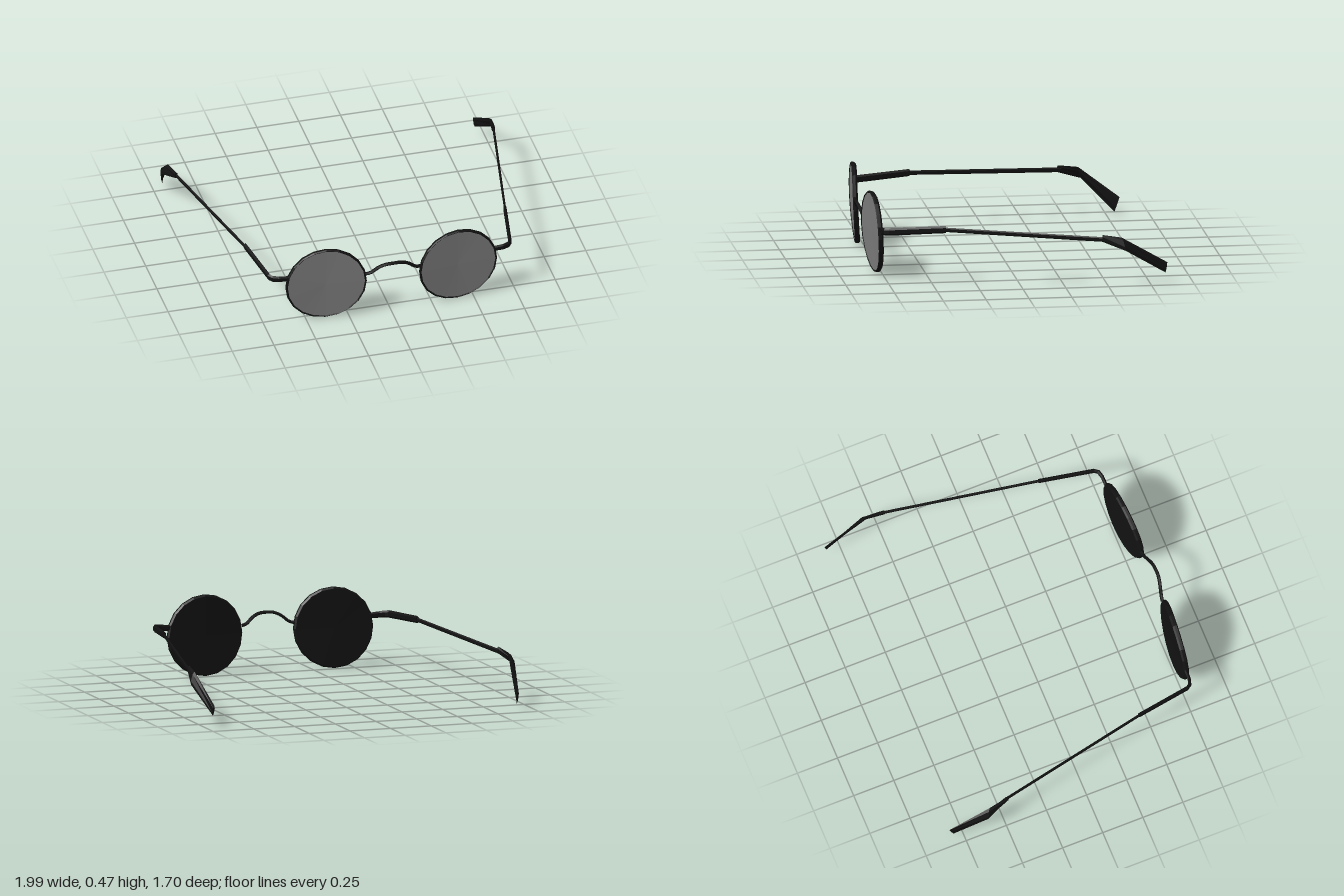
import * as THREE from 'three';

const black = new THREE.MeshStandardMaterial({ color: 0x111111, flatShading: true });
const tint = new THREE.MeshStandardMaterial({ color: 0x7c7c7c, flatShading: true });
const V = (x, y, z) => new THREE.Vector3(x, y, z);

// Six-sided bar lofted through sections, each [top point, bottom point, half width]
function bar(name, sections) {
  const n = 6;
  const mids = sections.map(([t, b]) => t.clone().add(b).multiplyScalar(0.5));
  const rings = sections.map(([t, b, w], i) => {
    const axis = t.clone().sub(b).multiplyScalar(0.5);
    const dir = mids[Math.min(i + 1, mids.length - 1)].clone().sub(mids[Math.max(i - 1, 0)]);
    const side = dir.cross(axis).normalize().multiplyScalar(w * 1.15);
    return Array.from({ length: n }, (_, k) => {
      const a = (k / n) * Math.PI * 2;
      return mids[i].clone().addScaledVector(axis, Math.cos(a)).addScaledVector(side, Math.sin(a));
    });
  });
  const pos = [];
  const tri = (...p) => p.forEach((v) => pos.push(v.x, v.y, v.z));
  const last = rings.length - 1;
  for (let k = 0; k < n; k++) {
    const j = (k + 1) % n;
    for (let i = 0; i < last; i++) {
      const a = rings[i], b = rings[i + 1];
      tri(a[k], a[j], b[j]);
      tri(a[k], b[j], b[k]);
    }
    tri(mids[0], rings[0][j], rings[0][k]);
    tri(mids[last], rings[last][k], rings[last][j]);
  }
  const g = new THREE.BufferGeometry();
  g.setAttribute('position', new THREE.Float32BufferAttribute(pos, 3));
  g.computeVertexNormals();
  const m = new THREE.Mesh(g, black);
  m.name = name;
  return m;
}

// Upright section of a bar, centred on a point
const sec = (x, y, z, h, w) => [V(x, y + h, z), V(x, y - h, z), w];

// Wrap a lens part around the face and lean its top forward
function wrap(g, s) {
  const p = g.attributes.position;
  for (let i = 0; i < p.count; i++) {
    const u = p.getX(i) * s;
    p.setZ(i, p.getZ(i) - 0.083 * u + 0.17 * u * u + 0.045 * p.getY(i));
  }
  g.computeVertexNormals();
  return g;
}

export function createModel() {
  const model = new THREE.Group();
  const cx = 0.01;

  for (const s of [-1, 1]) {
    const label = s > 0 ? 'left' : 'right';

    // Rim with closed dark back, and the tinted lens in front
    const eye = new THREE.Group();
    eye.name = label + 'Eyepiece';
    const profile = [[0, -0.014], [0.228, -0.016], [0.237, -0.006], [0.237, 0.008], [0.231, 0.014], [0.226, 0.01]];
    const rimGeo = new THREE.LatheGeometry(profile.map(([r, y]) => new THREE.Vector2(r, y)), 20);
    rimGeo.rotateX(Math.PI / 2);
    const rim = new THREE.Mesh(wrap(rimGeo, s), black);
    rim.name = label + 'Rim';
    const lens = new THREE.Mesh(wrap(new THREE.CircleGeometry(0.228, 20).translate(0, 0, 0.01), s), tint);
    lens.name = label + 'Lens';
    eye.add(rim, lens);
    eye.position.set(cx + s * 0.395, 0.242, 0.79);
    model.add(eye);

    // Hinge arm curving from the rim into the side
    const X = (d) => cx + s * d;
    model.add(bar(label + 'Hinge', [
      sec(X(0.615), 0.3, 0.778, 0.017, 0.009),
      sec(X(0.67), 0.303, 0.777, 0.019, 0.009),
      sec(X(0.705), 0.306, 0.767, 0.021, 0.009),
      sec(X(0.721), 0.308, 0.745, 0.022, 0.009),
      sec(X(0.777), 0.325, 0.42, 0.021, 0.009),
    ]));

    // Thin temple
    model.add(bar(label + 'Temple', [
      sec(X(0.776), 0.324, 0.43, 0.013, 0.006),
      sec(X(0.952), 0.276, -0.49, 0.014, 0.006),
    ]));
  }

  // Ear tips: flat blades that bend down behind the ear
  model.add(bar('rightEarTip', [
    [V(-0.942, 0.303, -0.47), V(-0.942, 0.262, -0.47), 0.009],
    [V(-0.96, 0.286, -0.59), V(-0.994, 0.213, -0.61), 0.009],
    [V(-0.937, 0.105, -0.83), V(-0.937, 0.02, -0.80), 0.005],
  ]));
  model.add(bar('leftEarTip', [
    [V(0.957, 0.303, -0.47), V(0.957, 0.262, -0.47), 0.009],
    [V(0.963, 0.286, -0.58), V(0.992, 0.213, -0.6), 0.009],
    [V(0.938, 0.127, -0.85), V(0.944, 0.068, -0.838), 0.005],
  ]));

  // Arched bridge
  const path = new THREE.CatmullRomCurve3([
    [-0.155, 0.28, 0.815], [-0.125, 0.286, 0.82], [-0.075, 0.325, 0.832], [-0.035, 0.342, 0.841],
    [0, 0.345, 0.844], [0.055, 0.342, 0.841], [0.095, 0.325, 0.832], [0.145, 0.286, 0.82], [0.175, 0.28, 0.815],
  ].map((p) => V(...p)));
  const bridge = new THREE.Mesh(new THREE.TubeGeometry(path, 18, 0.01, 6), black);
  bridge.name = 'bridge';
  model.add(bridge);

  return model;
}
